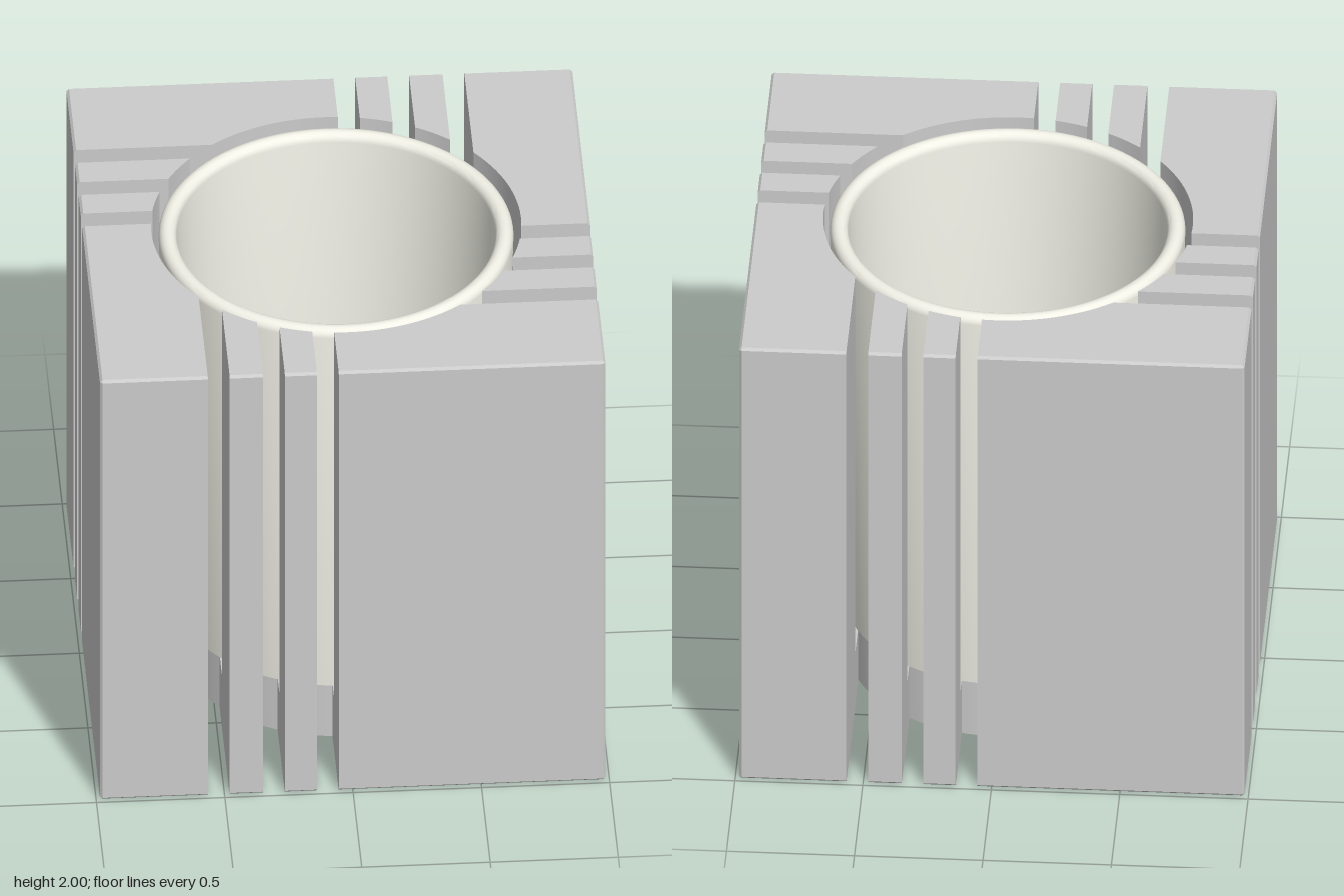
import * as THREE from 'three';
import { toCreasedNormals } from 'three/addons/utils/BufferGeometryUtils.js';

const HALF = 0.985;    // half width of the block
const FLOOR = 0.25;    // floor of the round well
const TOP = 2;
const WELL = 0.72;     // well radius
const CORE = 0.62;     // slots in the base stop at this radius
const EDGE = 0.01;     // small chamfer
const SLOTS = [[-0.565, -0.48], [-0.35, -0.265], [-0.14, -0.055]];

const V = (x, y) => new THREE.Vector2(x, y);
const onCircle = (r, x) => V(x, -Math.sqrt(r * r - x * x));

// Points along the front half of a circle between two x values
function arc(r, x0, x1, n) {
  return Array.from({ length: n + 1 }, (_, i) => onCircle(r, x0 + ((x1 - x0) * i) / n));
}

// Upright prism from a plan outline, chamfered along the outer edge at one end
function prism(outline, y0, y1, chamferTop) {
  const geo = new THREE.ExtrudeGeometry(new THREE.Shape(outline), {
    depth: y1 - y0, steps: 2, bevelEnabled: false,
  });
  geo.rotateX(-Math.PI / 2).translate(0, y0, 0);
  const p = geo.attributes.position;
  const end = chamferTop ? y1 : y0;
  const lim = HALF - EDGE;
  for (let i = 0; i < p.count; i++) {
    const y = p.getY(i);
    if (Math.abs(y - end) < 1e-4) {
      p.setX(i, THREE.MathUtils.clamp(p.getX(i), -lim, lim));
      p.setZ(i, THREE.MathUtils.clamp(p.getZ(i), -lim, lim));
    } else if (Math.abs(y - (y0 + y1) / 2) < 1e-4) {
      p.setY(i, chamferTop ? y1 - EDGE : y0 + EDGE);
    }
  }
  return toCreasedNormals(geo, 0.5);
}

export function createModel() {
  const model = new THREE.Group();
  const grey = new THREE.MeshStandardMaterial({ color: 0xcccccc });
  const glass = new THREE.MeshStandardMaterial({ color: 0xf0f0e6, side: THREE.DoubleSide });
  const wax = new THREE.MeshStandardMaterial({ color: 0xe87f1a });
  const wickMat = new THREE.MeshStandardMaterial({ color: 0xb5651d });

  const add = (parent, name, geo, mat) => {
    const mesh = new THREE.Mesh(geo, mat);
    mesh.name = name;
    parent.add(mesh);
    return mesh;
  };

  const block = new THREE.Group();
  block.name = 'block';
  model.add(block);

  // Solid base with three notches in each side
  const side = [V(-HALF + EDGE, -HALF)];
  for (const [a, b] of SLOTS) side.push(V(a, -HALF), ...arc(CORE, a, b, 4), V(b, -HALF));
  side.push(V(HALF - EDGE, -HALF));
  const baseOutline = [];
  for (let k = 0; k < 4; k++) {
    for (const p of side) baseOutline.push(p.clone().rotateAround(V(0, 0), (k * Math.PI) / 2));
  }
  add(block, 'base', prism(baseOutline, 0, FLOOR, false), grey);

  // Corner column: from the last slot of one side to the first slot of the next
  const last = SLOTS[2][1];
  const first = SLOTS[0][0];
  const reach = Math.sqrt(WELL * WELL - first * first);
  const cornerGeo = prism([
    V(last, -HALF), V(HALF - EDGE, -HALF), V(HALF, -HALF + EDGE), V(HALF, first),
    ...arc(WELL, reach, last, 20),
  ], FLOOR, TOP, true);

  // Narrow bars between the slots
  const barGeos = [0, 1].map((i) => {
    const a = SLOTS[i][1];
    const b = SLOTS[i + 1][0];
    return prism([V(a, -HALF), V(b, -HALF), ...arc(WELL, b, a, 6)], FLOOR, TOP, true);
  });

  for (let k = 0; k < 4; k++) {
    const quarter = new THREE.Group();
    quarter.name = 'blockSide';
    quarter.rotation.y = (k * Math.PI) / 2;
    add(quarter, 'cornerColumn', cornerGeo, grey);
    barGeos.forEach((g) => add(quarter, 'bar', g, grey));
    block.add(quarter);
  }

  // Tapered glass cup with a rounded rim
  const rim = Array.from({ length: 11 }, (_, i) => {
    const t = (i * Math.PI) / 10;
    return V(0.655 + 0.035 * Math.cos(t), 1.95 + 0.035 * Math.sin(t));
  });
  const cup = [V(0, FLOOR + 0.002), V(0.635, FLOOR + 0.002), ...rim, V(0.56, 0.33), V(0, 0.33)];
  add(model, 'glassCup', toCreasedNormals(new THREE.LatheGeometry(cup, 96), 0.6), glass);

  // Candle with a dished top
  const candle = [
    V(0, 0.33), V(0.515, 0.33), V(0.515, 0.8), V(0.505, 0.81), V(0.49, 0.805),
    V(0.44, 0.775), V(0.38, 0.757), V(0.3, 0.75), V(0, 0.75),
  ];
  add(model, 'candle', toCreasedNormals(new THREE.LatheGeometry(candle, 72), 0.6), wax);

  // Wick
  const wick = add(model, 'wick', new THREE.CapsuleGeometry(0.03, 0.1, 6, 16), wickMat);
  wick.position.y = 0.8;

  return model;
}
